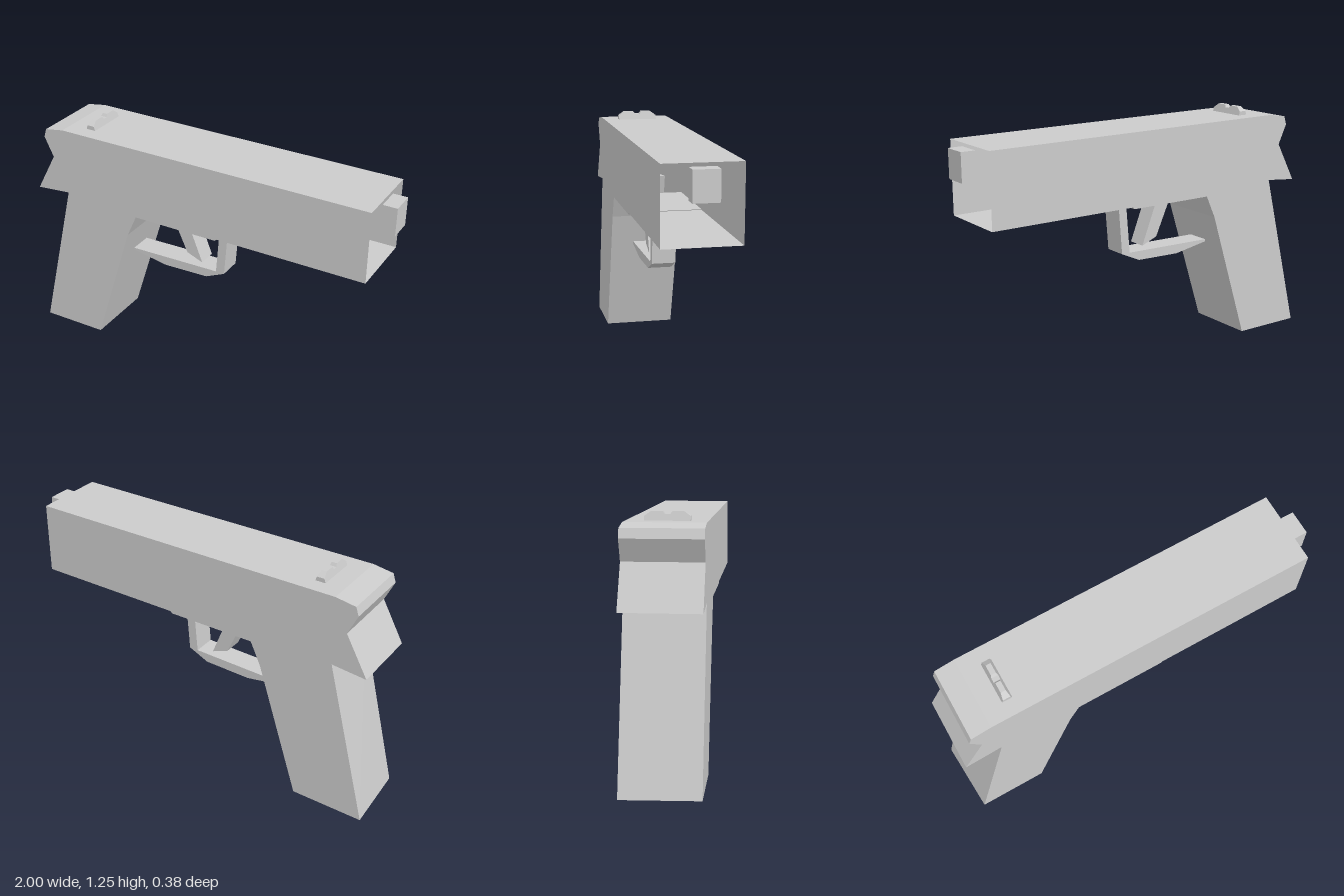
import * as THREE from 'three';

const material = new THREE.MeshStandardMaterial({
  color: 0xcccccc, flatShading: true, side: THREE.DoubleSide,
});

function part(name, geometry) {
  const mesh = new THREE.Mesh(geometry, material);
  mesh.name = name;
  return mesh;
}

// Prism across z from an xy outline (anticlockwise). Edges listed in openEdges get
// no wall; a third value on a point shifts x on the -z side only.
function prism(outline, zBack, zFront, openEdges = []) {
  const positions = [];
  const front = outline.map(([x, y]) => [x, y, zFront]);
  const back = outline.map(([x, y, skew = 0]) => [x + skew, y, zBack]);
  const tri = (a, b, c) => positions.push(...a, ...b, ...c);
  const flat = outline.map(([x, y]) => new THREE.Vector2(x, y));
  for (const [a, b, c] of THREE.ShapeUtils.triangulateShape(flat, [])) {
    tri(front[a], front[b], front[c]);
    tri(back[a], back[c], back[b]);
  }
  outline.forEach((_, i) => {
    if (openEdges.includes(i)) return;
    const j = (i + 1) % outline.length;
    tri(front[i], back[i], back[j]);
    tri(front[i], back[j], front[j]);
  });
  const geometry = new THREE.BufferGeometry();
  geometry.setAttribute('position', new THREE.Float32BufferAttribute(positions, 3));
  geometry.computeVertexNormals();
  return geometry;
}

// Sight bar: notched outline across z, narrowing in x towards the top
function sightGeometry() {
  const half = [[0.105, 1.205], [0.105, 1.228], [0.075, 1.25], [0.022, 1.25], [0.012, 1.236]];
  const outline = [...half, ...half.slice().reverse().map(([z, y]) => [-z, y])];
  const shape = new THREE.Shape(outline.map(([z, y]) => new THREE.Vector2(z, y)));
  const geometry = new THREE.ExtrudeGeometry(shape, { depth: 1, bevelEnabled: false });
  geometry.translate(0, 0, -0.5);
  geometry.rotateY(Math.PI / 2);
  const p = geometry.attributes.position;
  for (let i = 0; i < p.count; i++) {
    const t = (p.getY(i) - 1.205) / 0.045;
    p.setX(i, -0.657 + p.getX(i) * THREE.MathUtils.lerp(0.054, 0.026, t));
  }
  geometry.computeVertexNormals();
  return geometry;
}

export function createModel() {
  const model = new THREE.Group();

  // Slide, frame and grip in one hollow shell, open at the muzzle end (edge 4)
  const shell = [
    [-0.98, 0.005, -0.02], [-0.62, 0.01], [-0.40, 0.70], [-0.34, 0.83],
    [0.925, 0.835], [0.925, 1.207], [-0.78, 1.207], [-0.885, 1.19],
    [-0.90, 1.145], [-0.85, 1.04], [-0.965, 0.832], [-0.77, 0.85, -0.015],
  ];
  model.add(part('bodyAndGrip', prism(shell, -0.19, 0.185, [4])));

  // Barrel stub in front of the opening
  const barrel = part('barrel', new THREE.BoxGeometry(0.073, 0.145, 0.125));
  barrel.position.set(0.9635, 1.118, 0);
  model.add(barrel);

  model.add(part('rearSight', sightGeometry()));

  // Trigger guard: thin plate under the frame, front post and curved bar
  const guard = new THREE.Group();
  guard.name = 'triggerGuard';
  guard.add(
    part('guardPlate', prism(
      [[-0.35, 0.82], [0.125, 0.822], [0.135, 0.835], [-0.34, 0.835]], -0.19, 0.185)),
    part('guardPost', prism(
      [[0.06, 0.555], [0.108, 0.555], [0.13, 0.83], [0.083, 0.83]], -0.06, 0.062)),
    part('guardBar', prism(
      [[-0.45, 0.53], [-0.25, 0.497], [0, 0.505], [0.108, 0.555], [0.06, 0.555], [-0.45, 0.542]],
      -0.06, 0.062)),
  );
  model.add(guard);

  // Trigger
  model.add(part('trigger', prism(
    [[-0.12, 0.61], [-0.03, 0.575], [-0.13, 0.83], [-0.22, 0.83]], -0.05, 0.05)));

  return model;
}
